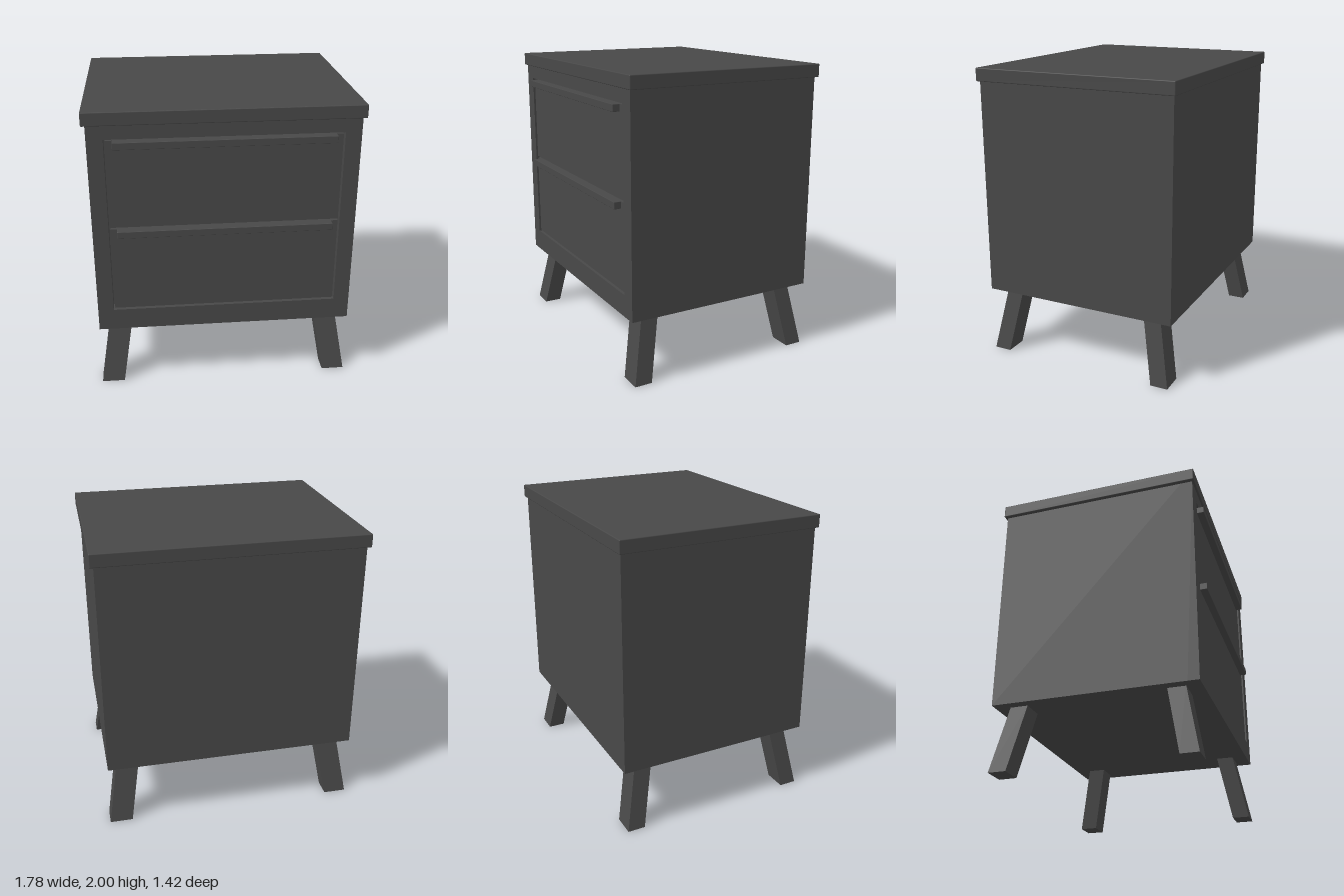
import * as THREE from 'three';
import { RoundedBoxGeometry } from 'three/addons/geometries/RoundedBoxGeometry.js';

const material = new THREE.MeshStandardMaterial({ color: 0x484848 });

export function createModel() {
  const model = new THREE.Group();
  model.name = 'nightstand';

  const add = (name, geometry, x = 0, y = 0, z = 0) => {
    const mesh = new THREE.Mesh(geometry, material);
    mesh.name = name;
    mesh.position.set(x, y, z);
    model.add(mesh);
    return mesh;
  };

  // Box given by its limits, optionally with softened edges
  const block = (name, [x0, x1], [y0, y1], [z0, z1], radius = 0) => {
    const size = [x1 - x0, y1 - y0, z1 - z0];
    const geometry = radius
      ? new RoundedBoxGeometry(...size, 2, radius)
      : new THREE.BoxGeometry(...size);
    return add(name, geometry, (x0 + x1) / 2, (y0 + y1) / 2, (z0 + z1) / 2);
  };

  const rect = (target, x0, y0, x1, y1) => {
    target.moveTo(x0, y0);
    target.lineTo(x1, y0);
    target.lineTo(x1, y1);
    target.lineTo(x0, y1);
    target.closePath();
    return target;
  };

  // Cabinet: solid carcass with an open frame at the front
  const frameBack = 0.6;
  block('carcass', [-0.865, 0.865], [0.45, 1.915], [-0.695, frameBack]);
  const frame = rect(new THREE.Shape(), -0.865, 0.45, 0.865, 1.915);
  frame.holes.push(rect(new THREE.Path(), -0.76, 0.6, 0.76, 1.82));
  add('frontFrame', new THREE.ExtrudeGeometry(frame, { depth: 0.675 - frameBack, bevelEnabled: false }), 0, 0, frameBack);

  // Overhanging top board
  block('top', [-0.89, 0.89], [1.912, 2], [-0.712, 0.69], 0.006);

  // Two drawers, each with a full-width bar handle at its upper edge
  for (const [bottom, top] of [[0.61, 1.203], [1.215, 1.81]]) {
    block('drawerFront', [-0.75, 0.75], [bottom, top], [frameBack, 0.665]);
    block('drawerHandle', [-0.706, 0.706], [top - 0.047, top], [0.66, 0.713], 0.003);
  }

  // Splayed legs: boxes sheared outwards towards the floor
  const height = 0.46;
  for (const sx of [-1, 1]) {
    for (const sz of [-1, 1]) {
      const leg = new THREE.BoxGeometry(0.155, height, 0.12);
      leg.translate(0, height / 2, 0);
      const p = leg.attributes.position;
      for (let i = 0; i < p.count; i++) {
        const t = p.getY(i) / height;
        p.setX(i, p.getX(i) - sx * 0.075 * t);
        p.setZ(i, p.getZ(i) - sz * 0.087 * t);
      }
      leg.computeVertexNormals();
      add(`${sz > 0 ? 'front' : 'back'}${sx > 0 ? 'Left' : 'Right'}Leg`, leg, sx * 0.793, 0, sz * 0.61 - 0.01);
    }
  }

  return model;
}
